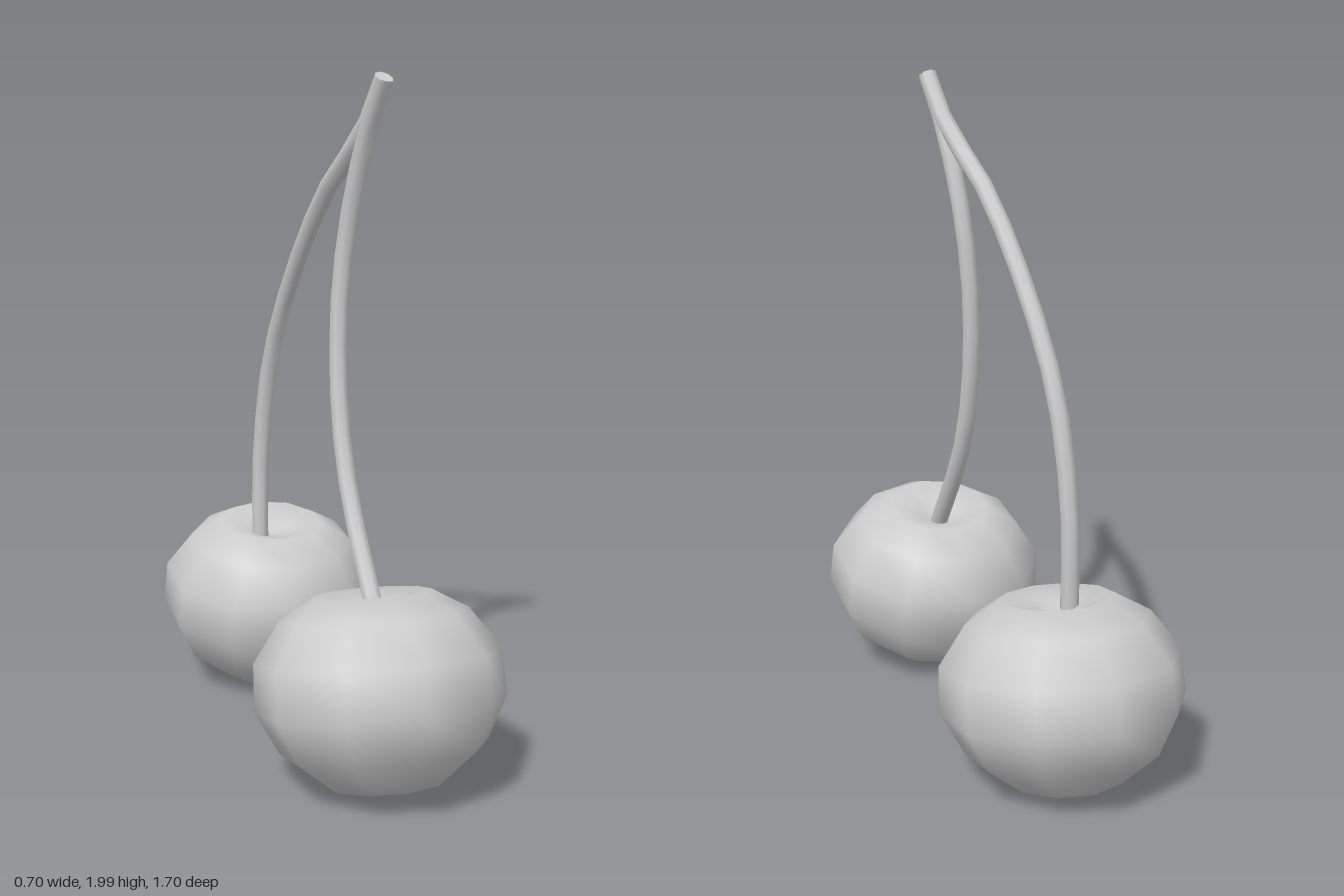
import * as THREE from 'three';

const material = new THREE.MeshStandardMaterial({ color: 0xcccccc });

// Half outline of the fruit, from its base up to the dimple
const outline = [
  [0, -0.3], [0.172, -0.274], [0.295, -0.175], [0.357, -0.055], [0.35, 0.08],
  [0.268, 0.195], [0.165, 0.255], [0.07, 0.222], [0, 0.2],
].map(([r, y]) => new THREE.Vector2(r, y));

function addFruit(group, name, x, y, z, tiltDegrees) {
  const fruit = new THREE.Mesh(new THREE.LatheGeometry(outline, 10), material);
  fruit.name = name;
  fruit.position.set(x, y, z);
  fruit.rotation.x = THREE.MathUtils.degToRad(tiltDegrees);
  group.add(fruit);
}

function addStem(group, name, points) {
  const radius = 0.028;
  const curve = new THREE.CatmullRomCurve3(points.map((p) => new THREE.Vector3(...p)));
  const stem = new THREE.Group();
  stem.name = name;
  const tube = new THREE.Mesh(new THREE.TubeGeometry(curve, 12, radius, 8), material);
  tube.name = name + 'Tube';

  // Flat cut at the upper end
  const cap = new THREE.Mesh(new THREE.CircleGeometry(radius, 8), material);
  cap.name = name + 'Cap';
  cap.position.copy(curve.getPointAt(0));
  cap.quaternion.setFromUnitVectors(new THREE.Vector3(0, 0, 1), curve.getTangentAt(0).negate());
  stem.add(tube, cap);
  group.add(stem);
}

export function createModel() {
  const model = new THREE.Group();
  model.name = 'cherryPair';

  addFruit(model, 'frontCherry', 0.01, 0.313, 0.487, -12.5);
  addFruit(model, 'backCherry', -0.015, 0.308, -0.487, 9.5);

  // Both stems start at the same joint and bow away from each other
  addStem(model, 'frontStem', [
    [0.088, 1.985, 0.29], [0.068, 1.83, 0.205], [0.042, 1.58, 0.13], [0.022, 1.34, 0.113],
    [0.012, 1.05, 0.145], [0.014, 0.81, 0.22], [0.022, 0.557, 0.375], [0.024, 0.49, 0.42],
  ]);
  addStem(model, 'backStem', [
    [0.088, 1.985, 0.29], [0.066, 1.84, 0.19], [0.028, 1.67, -0.02], [-0.008, 1.42, -0.22],
    [-0.038, 1.13, -0.375], [-0.055, 0.81, -0.437], [-0.06, 0.57, -0.437], [-0.06, 0.49, -0.435],
  ]);
  return model;
}
